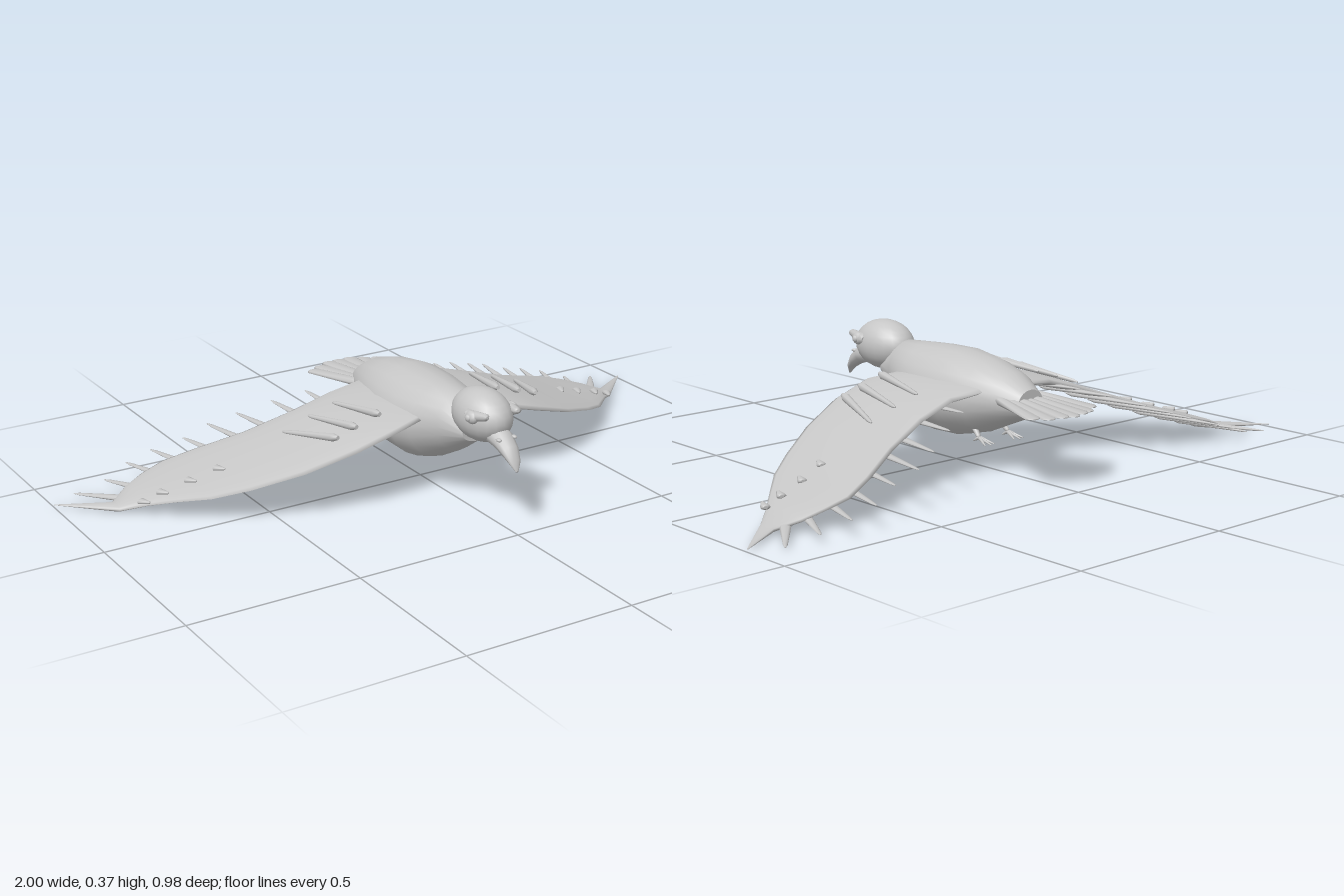
import * as THREE from 'three';

const plumage = new THREE.MeshStandardMaterial({ color: 0xc6c6c6 });
plumage.name = 'plumageGrey';
const V = (x, y, z) => new THREE.Vector3(x, y, z);

// Elliptical ring around c with half-axes s and u
function ring(c, s, u, n = 12) {
  return Array.from({ length: n }, (_, j) => {
    const a = (j / n) * Math.PI * 2;
    return c.clone().addScaledVector(s, Math.cos(a)).addScaledVector(u, Math.sin(a));
  });
}

// Closed skin through a row of rings, with flat end caps
function loft(rings) {
  const n = rings[0].length, last = rings.length - 1, pts = rings.flat(), idx = [];
  for (let i = 0; i < last; i++) {
    for (let j = 0; j < n; j++) {
      const a = i * n + j, b = i * n + (j + 1) % n;
      idx.push(a, a + n, b, b, a + n, b + n);
    }
  }
  const capStart = pts.length;
  pts.push(...rings[0], ...rings[last]);
  for (let j = 1; j < n - 1; j++) {
    idx.push(capStart, capStart + j, capStart + j + 1);
    idx.push(capStart + n, capStart + n + j + 1, capStart + n + j);
  }
  const g = new THREE.BufferGeometry().setFromPoints(pts);
  g.setIndex(idx);
  g.computeVertexNormals();
  return g;
}

// Flattened quill from p to q; w and h are half width and half height at each end
function quill(p, q, w0, h0, w1, h1) {
  const d = q.clone().sub(p).normalize();
  const s = d.clone().cross(V(0, 1, 0)).normalize(), u = s.clone().cross(d);
  const at = (t, w, h) => ring(p.clone().lerp(q, t), s.clone().multiplyScalar(w), u.clone().multiplyScalar(h), 8);
  return loft([at(0, w0 * 0.5, h0 * 0.5), at(0.1, w0, h0), at(0.93, w1, h1), at(1, w1 * 0.4, h1 * 0.4)]);
}

function ellipsoid(c, rx, ry, rz, w = 16, h = 12) {
  return new THREE.SphereGeometry(1, w, h).scale(rx, ry, rz).translate(c.x, c.y, c.z);
}

function mirrored(g) {
  const m = g.clone().scale(-1, 1, 1), ix = m.index.array;
  for (let i = 0; i < ix.length; i += 3) [ix[i], ix[i + 1]] = [ix[i + 1], ix[i]];
  return m;
}

// Wing stations: x, leading z, trailing z, height, half thickness
const STATIONS = [
  [0.08, 0.155, -0.21, 0.25, 0.021], [0.19, 0.185, -0.2, 0.237, 0.02],
  [0.31, 0.173, -0.21, 0.2, 0.018], [0.45, 0.125, -0.25, 0.15, 0.015],
  [0.58, 0.05, -0.31, 0.105, 0.013], [0.67, -0.015, -0.34, 0.076, 0.012],
  [0.74, -0.09, -0.33, 0.056, 0.011], [0.8, -0.155, -0.31, 0.036, 0.011],
  [0.86, -0.21, -0.27, 0.014, 0.01], [1.0, -0.347, -0.352, 0.012, 0.001],
];

function wingHeight(x) {
  let i = 0;
  while (i < STATIONS.length - 2 && x > STATIONS[i + 1][0]) i++;
  const [a, b] = [STATIONS[i], STATIONS[i + 1]];
  return THREE.MathUtils.lerp(a[3], b[3], (x - a[0]) / (b[0] - a[0]));
}

export function createModel() {
  const model = new THREE.Group();
  const add = (name, g) => {
    const m = new THREE.Mesh(g, plumage);
    m.name = name;
    model.add(m);
  };
  const addPair = (name, g) => {
    add(name + 'Left', g);
    add(name + 'Right', mirrored(g));
  };

  // Body: z, centre y, half width, half height
  const body = [
    [0.29, 0.24, 0.045, 0.03], [0.21, 0.242, 0.08, 0.087], [0.12, 0.221, 0.117, 0.114],
    [0.05, 0.212, 0.134, 0.127], [-0.05, 0.214, 0.137, 0.126], [-0.15, 0.219, 0.116, 0.106],
    [-0.24, 0.225, 0.083, 0.074], [-0.31, 0.22, 0.048, 0.04],
  ];
  add('body', loft(body.map(([z, y, w, h]) => ring(V(0, y, z), V(w, 0, 0), V(0, h, 0), 20))));

  // Head and hooked beak
  add('head', ellipsoid(V(0, 0.301, 0.319), 0.074, 0.075, 0.108, 20, 14));
  const beak = [
    [0.38, 0.3, 0.38, 0.235, 0.036], [0.43, 0.283, 0.42, 0.228, 0.032],
    [0.465, 0.254, 0.453, 0.214, 0.026], [0.485, 0.22, 0.475, 0.202, 0.018],
    [0.492, 0.189, 0.489, 0.185, 0.004],
  ];
  add('beak', loft(beak.map(([z1, y1, z0, y0, w]) =>
    ring(V(0, (y1 + y0) / 2, (z1 + z0) / 2), V(-w, 0, 0), V(0, (y1 - y0) / 2, (z1 - z0) / 2)))));
  addPair('nostril', ellipsoid(V(0.025, 0.267, 0.437), 0.007, 0.005, 0.011, 8, 6));

  // Eyes under a heavy brow
  addPair('eye', ellipsoid(V(0.066, 0.319, 0.366), 0.015, 0.019, 0.024, 12, 8));
  addPair('pupil', ellipsoid(V(0.079, 0.319, 0.366), 0.007, 0.01, 0.011, 10, 8));
  addPair('brow', quill(V(0.066, 0.318, 0.34), V(0.05, 0.33, 0.418), 0.016, 0.018, 0.013, 0.01));

  // Wings
  addPair('wing', loft(STATIONS.map(([x, lead, trail, y, t]) =>
    ring(V(x, y, (lead + trail) / 2), V(0, 0, (lead - trail) / 2), V(0, t, 0), 16))));

  // Flight feathers: base x, base z, tip x, tip z
  const flight = [
    [0.21, -0.03, 0.225, -0.28], [0.285, -0.06, 0.315, -0.325], [0.365, -0.09, 0.41, -0.37],
    [0.44, -0.11, 0.49, -0.402], [0.515, -0.12, 0.57, -0.402], [0.595, -0.15, 0.66, -0.435],
    [0.665, -0.17, 0.74, -0.435], [0.73, -0.19, 0.82, -0.41], [0.78, -0.21, 0.92, -0.397],
  ];
  flight.forEach(([x0, z0, x1, z1], i) => addPair('flightFeather' + i, quill(
    V(x0, wingHeight(x0) - 0.016, z0), V(x1, wingHeight(x1) - 0.002, z1), 0.02, 0.01, 0.006, 0.003)));

  // Long covert feathers on the inner wing
  [[0.2, 0.235], [0.275, 0.315], [0.335, 0.4]].forEach(([x0, x1], i) => addPair('covert' + i, quill(
    V(x0, wingHeight(x0) + 0.036, 0.105), V(x1, wingHeight(x1) + 0.024, -0.1), 0.013, 0.012, 0.006, 0.006)));

  // Short coverts near the wing tip
  [[0.585, -0.11], [0.665, -0.13], [0.745, -0.145], [0.8, -0.15]].forEach(([x, z], i) => addPair('tipCovert' + i, quill(
    V(x + 0.015, wingHeight(x) + 0.01, z - 0.025), V(x, wingHeight(x) + 0.014, z + 0.012), 0.014, 0.008, 0.005, 0.004)));

  // Tail fan
  for (let i = -3; i <= 3; i++) {
    const lift = i % 2 ? 0.002 : 0;
    add('tailFeather' + (i + 4), quill(
      V(i * 0.022, 0.229 + lift, -0.245), V(i * 0.038, 0.214 + lift, -0.492 + i * i * 0.005),
      0.016, 0.012, 0.025, 0.004));
  }

  // Tucked legs with spread toes
  const ankle = V(0.056, 0.106, -0.16);
  addPair('leg', quill(V(0.05, 0.16, -0.11), ankle, 0.011, 0.011, 0.007, 0.007));
  [[-0.018, -0.045], [0, -0.052], [0.018, -0.045], [0, 0.025]].forEach(([dx, dz], i) => addPair('toe' + i, quill(
    ankle, V(ankle.x + dx, 0.092, ankle.z + dz), 0.006, 0.006, 0.002, 0.002)));

  return model;
}
